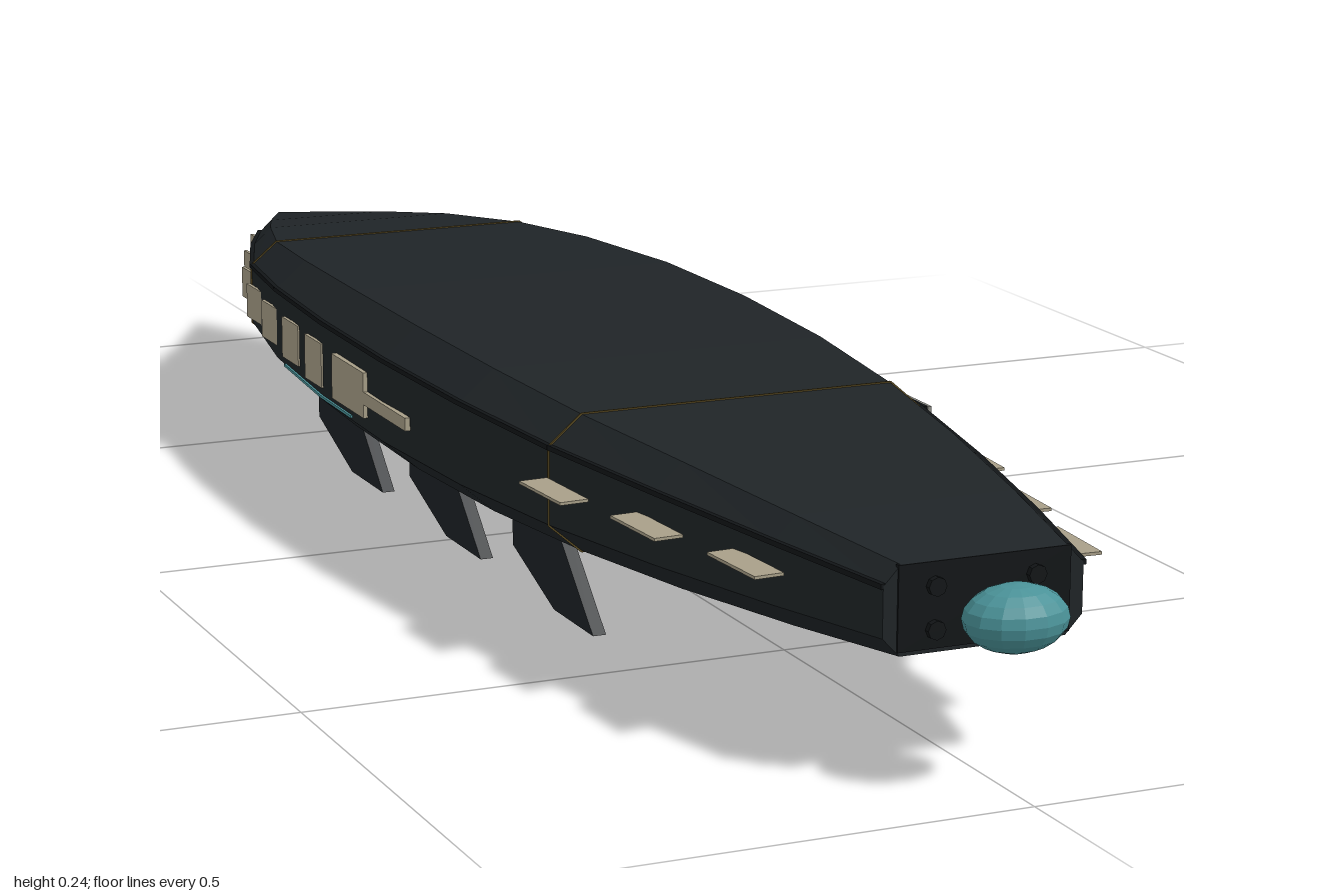
import * as THREE from 'three';

const mat = (color, side = THREE.FrontSide) =>
  new THREE.MeshStandardMaterial({ color, flatShading: true, side });
const M = {
  hull: mat(0x1f2427), dark: mat(0x121517), fin: mat(0x1d2226, THREE.DoubleSide),
  window: mat(0xa89f88), gold: mat(0x5a4a20), metal: mat(0x8a8a84), teal: mat(0x4a9298),
};
const CY = 0.16; // hull centre height

// stations: z, half width, half height
const STATIONS = [
  [0.9, 0.1, 0.042], [0.75, 0.135, 0.052], [0.57, 0.172, 0.062], [0.39, 0.203, 0.069],
  [0.2, 0.222, 0.075], [0, 0.23, 0.078], [-0.2, 0.227, 0.077], [-0.4, 0.211, 0.07],
  [-0.56, 0.186, 0.06], [-0.7, 0.138, 0.048], [-0.82, 0.088, 0.032], [-1, 0.002, 0.004],
];

function sizeAt(z) {
  let i = 0;
  while (i < STATIONS.length - 2 && z < STATIONS[i + 1][0]) i++;
  const a = STATIONS[i], b = STATIONS[i + 1];
  const t = (a[0] - z) / (a[0] - b[0]);
  return [a[1] + (b[1] - a[1]) * t, a[2] + (b[2] - a[2]) * t];
}

// chamfered rectangle, anticlockwise seen from the front
function octagon(z, grow = 0) {
  let [w, h] = sizeAt(z);
  w += grow; h += grow;
  const a = w * 0.83, b = h * 0.57;
  return [[w, -b], [w, b], [a, h], [-a, h], [-w, b], [-w, -b], [-a, -h], [a, -h]]
    .map(([x, y]) => new THREE.Vector3(x, CY + y, z));
}

function loft(rings) {
  const pos = [], idx = [], n = rings[0].length;
  rings.forEach(r => r.forEach(p => pos.push(p.x, p.y, p.z)));
  for (let s = 0; s < rings.length - 1; s++)
    for (let i = 0; i < n; i++) {
      const a = s * n + i, b = s * n + (i + 1) % n;
      idx.push(a, a + n, b, b, a + n, b + n);
    }
  const last = (rings.length - 1) * n;
  for (let i = 1; i < n - 1; i++) {
    idx.push(0, i, i + 1);
    idx.push(last, last + i + 1, last + i);
  }
  const g = new THREE.BufferGeometry();
  g.setAttribute('position', new THREE.Float32BufferAttribute(pos, 3));
  g.setIndex(idx);
  g.computeVertexNormals();
  return g;
}

export function createModel() {
  const root = new THREE.Group();
  const add = (name, geo, material, x = 0, y = 0, z = 0, parent = root) => {
    const m = new THREE.Mesh(geo, material);
    m.name = name;
    m.position.set(x, y, z);
    parent.add(m);
    return m;
  };
  const box = (name, material, w, h, d, x, y, z) =>
    add(name, new THREE.BoxGeometry(w, h, d), material, x, y, z);
  // thin square bar between two points
  const bar = (name, material, p, q, t) => {
    const m = add(name, new THREE.BoxGeometry(t, t, p.distanceTo(q)), material);
    m.position.copy(p).lerp(q, 0.5);
    m.lookAt(q);
    return m;
  };

  add('hull', loft(STATIONS.map(s => octagon(s[0]))), M.hull);

  // gold seams around the hull
  for (const z of [0.39, -0.56]) {
    const ring = octagon(z, 0.0005);
    ring.forEach((p, i) => bar('hullSeam', M.gold, p, ring[(i + 1) % 8], 0.002));
  }

  // trim along the upper shoulders
  for (let s = 0; s < STATIONS.length - 2; s++) {
    const a = octagon(STATIONS[s][0]), b = octagon(STATIONS[s + 1][0]);
    for (const i of [1, 4]) bar('shoulderTrim', M.dark, a[i], b[i], 0.005);
  }

  // bow plate, bolts and floating orb
  box('bowPlate', M.dark, 0.172, 0.08, 0.006, 0, 0.162, 0.899);
  for (const x of [-0.05, 0.05])
    for (const y of [0.14, 0.18]) {
      const bolt = add('bowBolt', new THREE.CylinderGeometry(0.009, 0.009, 0.008, 8), M.dark, x, y, 0.904);
      bolt.rotation.x = Math.PI / 2;
    }
  add('bowOrb', new THREE.SphereGeometry(1, 14, 10), M.teal, 0, CY, 0.958).scale.set(0.05, 0.031, 0.039);

  // swept fins below, drawn as (-z, y)
  const finShape = new THREE.Shape([[0, 0], [0.1, 0], [0.21, 0.04], [0.21, 0.095], [0.1, 0.095]]
    .map(p => new THREE.Vector2(...p)));
  const finGeo = new THREE.ExtrudeGeometry(finShape, { depth: 0.014, bevelEnabled: false });
  finGeo.translate(0, 0, -0.007).rotateY(Math.PI / 2);
  for (const side of [-1, 1])
    for (const z of [0.385, 0.085, -0.21]) add('fin', finGeo, M.fin, side * 0.147, 0, z);

  // keel plates on the centre line
  box('keelPlate', M.fin, 0.004, 0.07, 0.3, 0, 0.07, -0.02);
  box('keelPlate', M.fin, 0.004, 0.06, 0.3, 0, 0.075, -0.35);

  for (const side of [-1, 1]) {
    // window panels growing smaller toward the stern
    for (let i = 0; i < 7; i++) {
      const z = -0.225 - i * 0.1, h = 0.05 - i * 0.0035;
      box('sideWindow', M.window, 0.004, h, 0.055, side * (sizeAt(z)[0] + 0.002), 0.155, z);
    }
    box('wideWindow', M.window, 0.006, 0.05, 0.1, side * 0.231, 0.155, -0.1);
    box('windowBar', M.window, 0.006, 0.014, 0.13, side * 0.231, 0.152, 0.01);

    // thin teal strip under the windows
    const strip = z => new THREE.Vector3(side * (sizeAt(z)[0] + 0.001), 0.12, z);
    bar('sideStrip', M.teal, strip(-0.1), strip(-0.2), 0.003);
    bar('sideStrip', M.teal, strip(-0.2), strip(-0.36), 0.003);

    // flat vanes beside the bow
    for (let i = 0; i < 3; i++) {
      const z = (side > 0 ? 0.487 : 0.437) + i * 0.15;
      const x = side > 0 ? 0.21 - i * 0.032 : 0.218 - i * 0.031;
      box('bowVane', M.window, 0.03, 0.003, 0.09, side * x, 0.168, z).rotation.y = -side * 0.06;
    }
  }

  // framed hatch on the left flank
  box('hatch', M.dark, 0.012, 0.064, 0.25, 0.222, 0.16, 0.235);
  for (const y of [0.13, 0.19]) box('hatchFrame', M.metal, 0.004, 0.004, 0.25, 0.229, y, 0.235);
  for (const z of [0.36, 0.11]) box('hatchFrame', M.metal, 0.004, 0.064, 0.004, 0.229, 0.16, z);

  return root;
}
